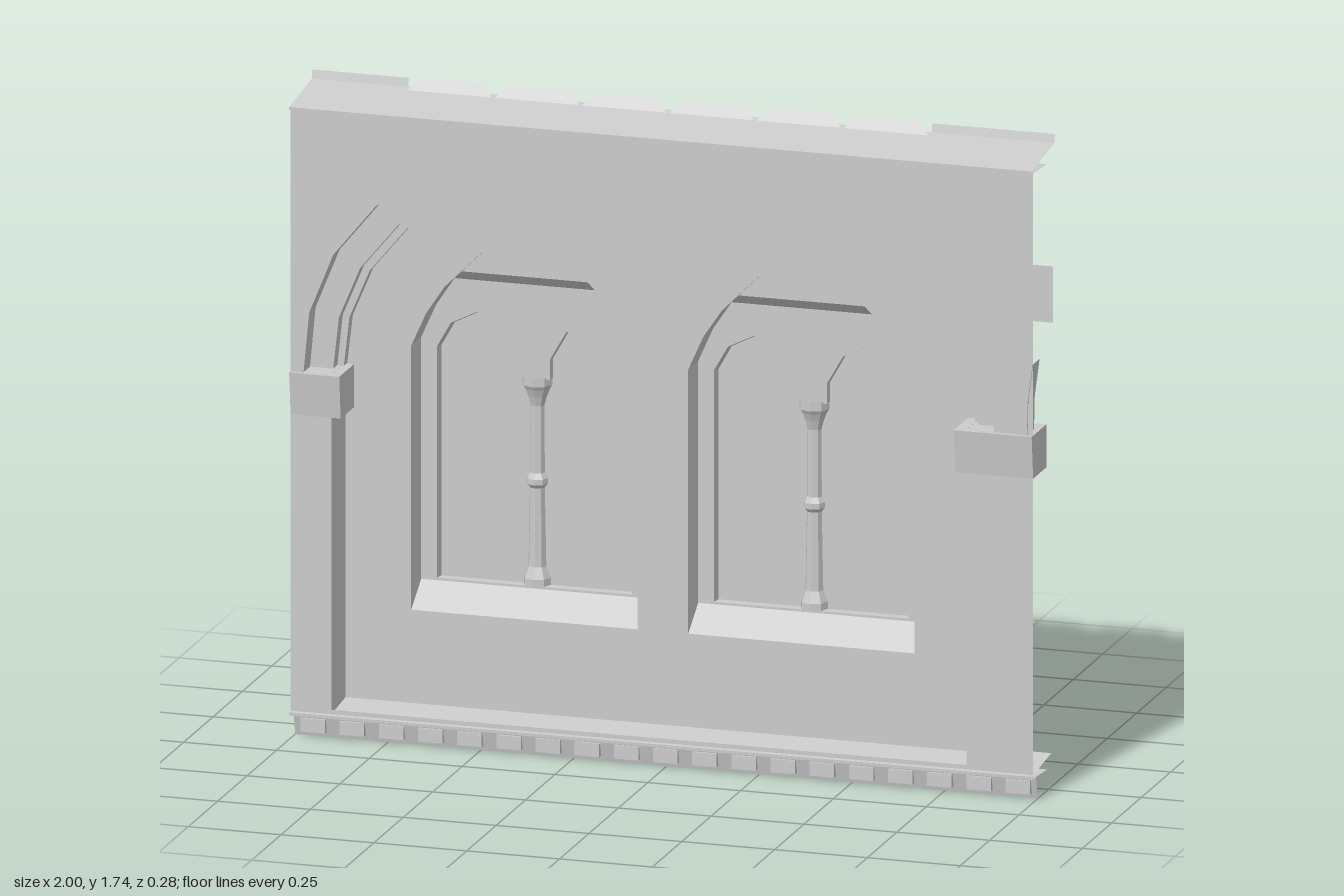
import * as THREE from 'three';

const mat = new THREE.MeshStandardMaterial({ color: 0xcccccc, side: THREE.DoubleSide, flatShading: true });
const MID = -0.035; // the two bays mirror about this line

function add(group, name, geo, x = 0, y = 0, z = 0) {
  const m = new THREE.Mesh(geo, mat);
  m.name = name;
  m.position.set(x, y, z);
  group.add(m);
  return m;
}

// Skin between rows of equal point count; each row is { pts, z }
function loft(rows, closed = false) {
  const pos = [];
  for (let r = 0; r + 1 < rows.length; r++) {
    const a = rows[r], b = rows[r + 1], n = a.pts.length;
    for (let i = 0; i < (closed ? n : n - 1); i++) {
      const j = (i + 1) % n;
      const A = [...a.pts[i], a.z], B = [...a.pts[j], a.z];
      const C = [...b.pts[j], b.z], D = [...b.pts[i], b.z];
      pos.push(...A, ...B, ...C, ...A, ...C, ...D);
    }
  }
  const g = new THREE.BufferGeometry();
  g.setAttribute('position', new THREE.Float32BufferAttribute(pos, 3));
  g.computeVertexNormals();
  return g;
}

const vecs = (pts) => pts.map(([x, y]) => new THREE.Vector2(x, y));

// Flat panel with holes
function panel(pts, holes = []) {
  const s = new THREE.Shape(vecs(pts));
  holes.forEach((h) => s.holes.push(new THREE.Path(vecs(h))));
  return new THREE.ShapeGeometry(s);
}

// Long sheet along x with a (z, y) section
function sheet(section, x0 = -1, x1 = 1) {
  return loft(section.map(([z, y]) => ({ pts: [[x0, y], [x1, y]], z })));
}

// Mirror a half path (right to centre) about x = c
const mirror = (half, c) => half.concat(half.slice(0, -1).reverse().map(([x, y]) => [2 * c - x, y]));
const shift = (pts, dx) => pts.map(([x, y]) => [x + dx, y]);

// Double arch outlines, from right spring to left spring
const outerHalf = [[0.56, 0.98], [0.545, 1.14], [0.48, 1.3], [0.365, 1.44], [0.22, 1.55], [0, 1.615], [-0.21, 1.55], [-0.37, 1.43]];
const innerHalf = [[0.48, 0.98], [0.465, 1.11], [0.41, 1.24], [0.31, 1.36], [0.185, 1.455], [0, 1.515], [-0.2, 1.43], [-0.37, 1.29]];
const middleHalf = innerHalf.map(([x, y], i) => [x + (outerHalf[i][0] - x) * 0.22, y + (outerHalf[i][1] - y) * 0.23]);
const arcade = (half) => mirror(shift(half, 0.335), MID);

// Window outline with its sill at a given height
const windowPath = (sill) => mirror([[0.305, sill], [0.305, 1.04], [0.265, 1.13], [0.215, 1.205], [0.115, 1.305], [0, 1.345]], 0);

// Twin lancet opening: one sill, two pointed heads, a stub between them
const lancets = mirror([[0.262, 0.4], [0.262, 1.02], [0.225, 1.085], [0.155, 1.12], [0.085, 1.085], [0.042, 1.01], [0.042, 0.955], [0, 0.955]], 0);

function makeWindow(x) {
  const g = new THREE.Group();
  g.name = 'window';
  g.position.x = x;
  add(g, 'splayedReveal', loft([{ pts: windowPath(0.335), z: 0.01 }, { pts: windowPath(0.395), z: -0.075 }], true));
  const plate = [[-0.305, 0.395], [0.305, 0.395], [0.305, 1.04], [0.265, 1.13], [0.215, 1.205], [-0.215, 1.205], [-0.265, 1.13], [-0.305, 1.04]];
  add(g, 'traceryPlate', panel(plate, [lancets]), 0, 0, -0.075);
  const slim = lancets.map(([px, py]) => [px * 0.97, py > 1 ? py - 0.01 : py]);
  add(g, 'lancetReveal', loft([{ pts: lancets, z: -0.075 }, { pts: slim, z: -0.135 }], true));
  add(g, 'glazing', panel(lancets), 0, 0, -0.1);
  add(g, 'transomBevel', loft([{ pts: [[-0.215, 1.205], [0.215, 1.205]], z: -0.075 }, { pts: [[-0.2, 1.235], [0.2, 1.235]], z: -0.04 }]));
  add(g, 'sillLedge', new THREE.BoxGeometry(0.61, 0.012, 0.065), 0, 0.395, -0.107);
  // Column with base, shaft ring and capital
  const profile = [[0.036, 0.4], [0.036, 0.42], [0.024, 0.45], [0.02, 0.66], [0.028, 0.67], [0.028, 0.685], [0.02, 0.7],
    [0.019, 0.88], [0.026, 0.905], [0.034, 0.925], [0.04, 0.935], [0.04, 0.96]];
  add(g, 'column', new THREE.LatheGeometry(vecs(profile), 8), 0, 0, -0.1);
  return g;
}

export function createModel() {
  const model = new THREE.Group();
  model.name = 'arcadeWall';

  const outer = arcade(outerHalf), middle = arcade(middleHalf), inner = arcade(innerHalf);
  const R = 0.82, L = -0.89, FLOOR = 0.085, CAP = 0.98;

  // Front wall face with the double arched opening
  add(model, 'frontFace', panel([[-1, 0.065], [1, 0.065], [1, 1.685], [-1, 1.685]],
    [[[L, FLOOR], [R, FLOOR], [R, CAP], ...outer, [L, CAP]]]), 0, 0, 0.13);

  // Stepped arch moulding
  add(model, 'archMoulding', loft([
    { pts: outer, z: 0.13 }, { pts: outer, z: 0.075 }, { pts: middle, z: 0.075 },
    { pts: middle, z: 0.04 }, { pts: inner, z: 0.04 }, { pts: inner, z: 0.01 },
  ]));

  // Jambs and capitals on both sides
  for (const [name, x, x0, x1] of [['right', L, -1, -0.865], ['left', R, 0.79, 1]]) {
    add(model, name + 'Jamb', loft([{ pts: [[x, 0.06], [x, CAP]], z: 0.13 }, { pts: [[x, 0.06], [x, CAP]], z: 0.01 }]));
    const cap = new THREE.BoxGeometry(x1 - x0, 0.115, 0.125);
    const p = cap.attributes.position;
    for (let i = 0; i < p.count; i++) if (p.getY(i) < 0 && p.getZ(i) > 0) p.setZ(i, 0.05);
    add(model, name + 'Capital', cap, (x0 + x1) / 2, 0.922, 0.08);
  }

  // Recessed wall pierced by the windows
  const centres = [MID - 0.373, MID + 0.373];
  add(model, 'recessedWall', panel([[L, FLOOR], [R, FLOOR], [R, CAP], ...inner, [L, CAP]],
    centres.map((c) => shift(windowPath(0.335), c))), 0, 0, 0.01);
  centres.forEach((c) => model.add(makeWindow(c)));

  // Strip running behind the window heads
  add(model, 'backStrip', panel([[-1, 1.235], [1, 1.235], [1, 1.385], [-1, 1.385]]), 0, 0, -0.04);

  // Start of the next arch at the wall's end
  const next = [[0.985, 0.98], [0.987, 1.07], [1, 1.17]];
  add(model, 'nextArchSliver', loft([{ pts: next, z: 0.135 }, { pts: next, z: 0.075 }]));

  // Base moulding
  add(model, 'baseMoulding', sheet([[-0.025, 0.09], [0.142, 0.072], [0.142, 0.064], [0.01, 0.056]]));
  add(model, 'dentilBand', sheet([[0.105, 0.06], [0.09, 0]]));
  for (let i = 0; i < 19; i++) {
    add(model, 'dentil', new THREE.BoxGeometry(0.066, 0.036, 0.016), -0.98 + 0.033 + i * 0.1055, 0.032, 0.101);
  }

  // Cornice
  add(model, 'cornice', sheet([[0.01, 1.672], [0.142, 1.68], [0.142, 1.688], [-0.05, 1.712]]));
  for (const [a, b] of [[-1, -0.74], [0.67, 1]]) {
    add(model, 'corniceEnd', sheet([[0.0, 1.706], [-0.05, 1.712], [-0.055, 1.735]], a, b));
  }
  // Sloping tiles between the cornice ends
  const step = 1.41 / 6;
  for (let i = 0; i < 6; i++) {
    const a = -0.74 + i * step, b = a + step;
    add(model, 'corniceTile', loft([
      { pts: [[a, 1.706], [b, 1.706]], z: -0.025 },
      { pts: [[a + 0.035, 1.735], [b - 0.035, 1.735]], z: -0.06 },
    ]));
  }
  return model;
}
